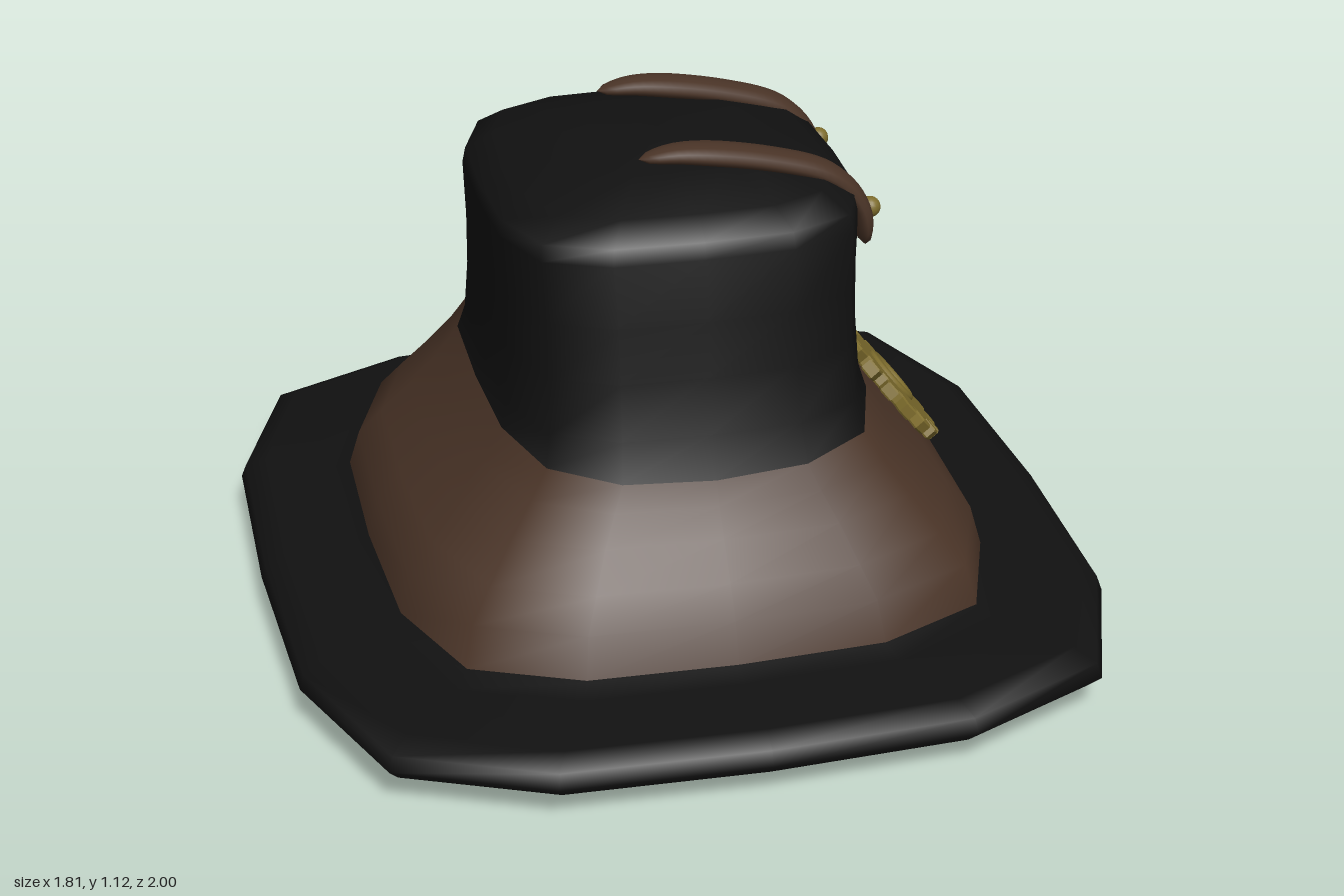
import * as THREE from 'three';

const mat = (color) => new THREE.MeshStandardMaterial({ color, roughness: 0.9, side: THREE.DoubleSide });
const felt = mat(0x111111);
const leather = mat(0x4a3427);
const brass = mat(0x7d6c2c);

function add(parent, name, geometry, material) {
  const mesh = new THREE.Mesh(geometry, material);
  mesh.name = name;
  parent.add(mesh);
  return mesh;
}

// Skin a list of closed rings (arrays of Vector3, equal length)
function loft(rings) {
  const n = rings[0].length;
  const index = [];
  for (let i = 0; i < rings.length - 1; i++) {
    for (let k = 0; k < n; k++) {
      const a = i * n + k, b = i * n + (k + 1) % n;
      index.push(a, b, b + n, a, b + n, a + n);
    }
  }
  const g = new THREE.BufferGeometry().setFromPoints(rings.flat());
  g.setIndex(index);
  g.computeVertexNormals();
  return g;
}

// Sixteen-sided rounded rectangle, one quarter turned four times
const outline = [];
let quarter = [[0, 1], [0.486, 0.98], [0.84, 0.835], [0.983, 0.485]];
for (let q = 0; q < 4; q++) {
  outline.push(...quarter);
  quarter = quarter.map(([x, z]) => [z, -x]);
}

// Profile rows: half width, half depth, height, extra height toward the sides
const hatPart = (rows) => loft(rows.map(([hx, hz, y, lift = 0]) =>
  outline.map(([x, z]) => new THREE.Vector3(x * hx, y + lift * x * x, z * hz))));

// Leather strap following the crown, tapered and rounded at its ends
function strapGeometry() {
  const path = new THREE.CatmullRomCurve3([
    [-0.09, 1.09], [0, 1.096], [0.2, 1.063], [0.33, 1.015], [0.39, 0.945], [0.41, 0.845],
  ].map(([x, y]) => new THREE.Vector3(x, y, 0)));
  const rings = [];
  const steps = 32, sides = 12;
  for (let i = 0; i <= steps; i++) {
    const t = i / steps;
    const p = path.getPointAt(t), d = path.getTangentAt(t);
    const head = Math.min(1, t / 0.3), tail = Math.min(1, (1 - t) / 0.15);
    const w = 0.05 * Math.sqrt(head * (2 - head) * tail * (2 - tail));
    const h = w * 0.46;
    rings.push(Array.from({ length: sides }, (_, k) => {
      const a = (k / sides) * Math.PI * 2;
      const c = Math.cos(a) * h;
      return new THREE.Vector3(p.x - d.y * c, p.y + d.x * c, Math.sin(a) * w);
    }));
  }
  return loft(rings);
}

// Toothed wheel with a raised rim around the hole
function createGear() {
  const gear = new THREE.Group();
  gear.name = 'gear';
  const teeth = 16, root = 0.134, tip = 0.166;
  const shape = new THREE.Shape();
  for (let i = 0; i < teeth; i++) {
    [[-0.3, root], [-0.22, tip], [0.22, tip], [0.3, root]].forEach(([o, r], j) => {
      const a = ((i + o) / teeth) * Math.PI * 2;
      shape[i + j ? 'lineTo' : 'moveTo'](r * Math.cos(a), r * Math.sin(a));
    });
  }
  shape.closePath();
  shape.holes.push(new THREE.Path().absarc(0, 0, 0.058, 0, Math.PI * 2, true));
  const plate = new THREE.ExtrudeGeometry(shape, {
    depth: 0.022, bevelEnabled: true, bevelSize: 0.003, bevelThickness: 0.004,
    bevelSegments: 1, curveSegments: 24,
  });
  plate.translate(0, 0, -0.011);
  add(gear, 'gearPlate', plate, brass);
  add(gear, 'gearRim', new THREE.TorusGeometry(0.063, 0.012, 8, 32), brass).position.z = 0.012;
  return gear;
}

export function createModel() {
  const hat = new THREE.Group();
  hat.name = 'hat';

  // Brim, closed underneath
  add(hat, 'brim', hatPart([
    [0, 0, 0], [0.4, 0.45, 0.003], [0.72, 0.8, 0.015], [0.88, 0.97, 0.055], [0.905, 1, 0.085],
    [0.895, 0.985, 0.115], [0.85, 0.94, 0.138], [0.7, 0.77, 0.14], [0.665, 0.73, 0.16], [0.62, 0.68, 0.17],
  ]), felt);

  // Wide flared band
  add(hat, 'band', hatPart([
    [0.662, 0.725, 0.16], [0.64, 0.69, 0.245], [0.585, 0.645, 0.31], [0.52, 0.59, 0.385],
    [0.46, 0.55, 0.44, 0.02], [0.412, 0.525, 0.49, 0.04],
  ]), leather);

  // Crown with softly domed top
  add(hat, 'crown', hatPart([
    [0.412, 0.525, 0.49, 0.04], [0.397, 0.49, 0.58], [0.39, 0.465, 0.7], [0.391, 0.447, 0.82],
    [0.398, 0.425, 0.95], [0.392, 0.415, 0.985], [0.335, 0.36, 1.025], [0.2, 0.21, 1.063], [0, 0, 1.078],
  ]), felt);

  // Gear lying on the sloped side of the band
  const gear = createGear();
  gear.position.set(0.532, 0.408, 0);
  gear.lookAt(0.532 + 0.77, 0.408 + 0.63, 0);
  hat.add(gear);

  // Pair of straps with brass studs
  for (const side of [-1, 1]) {
    const name = side > 0 ? 'front' : 'back';
    add(hat, name + 'Strap', strapGeometry(), leather).position.z = side * 0.2;
    add(hat, name + 'Stud', new THREE.SphereGeometry(0.023, 16, 12), brass).position.set(0.418, 0.932, side * 0.2);
  }
  return hat;
}
